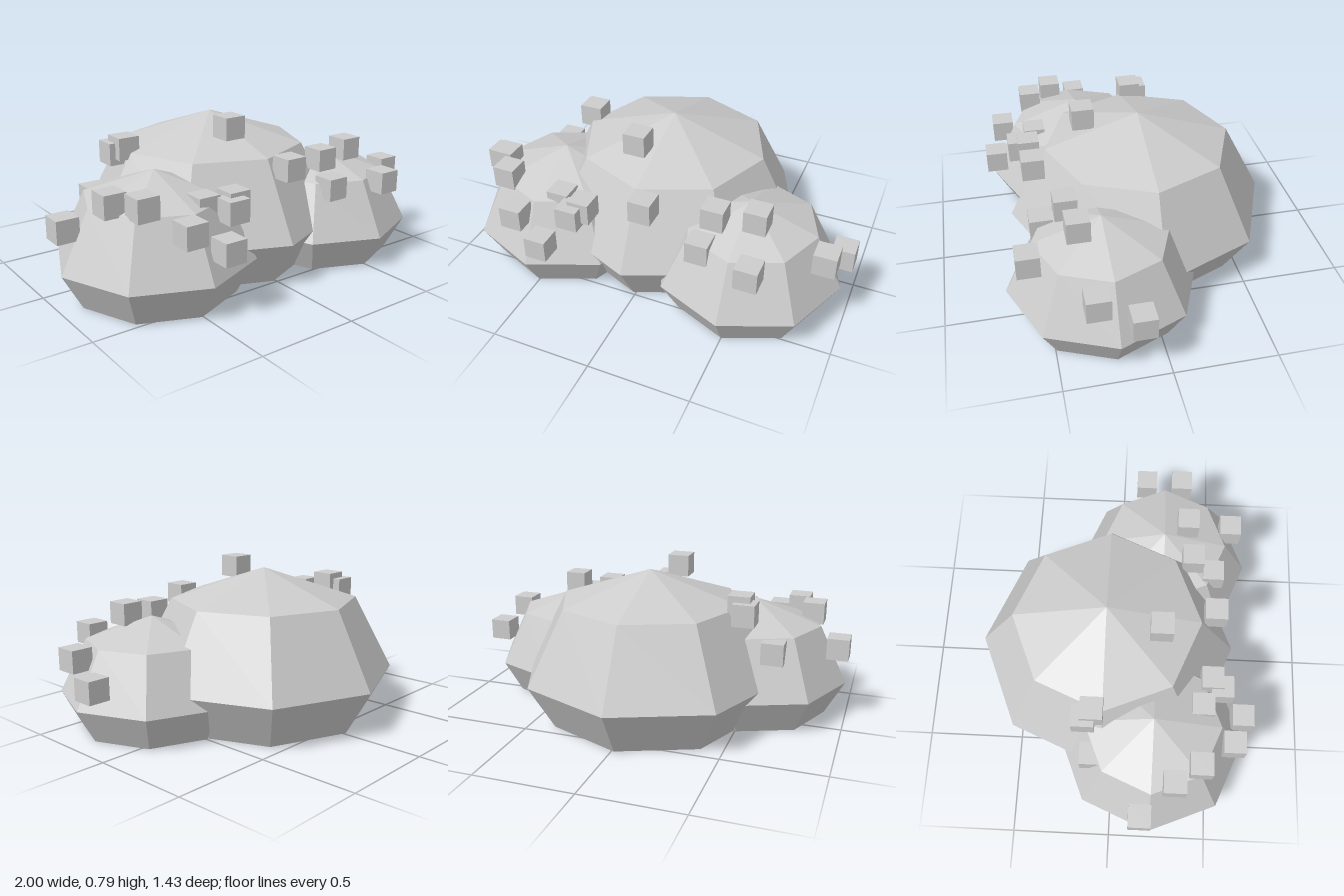
import * as THREE from 'three';

const stone = new THREE.MeshStandardMaterial({ color: 0xcccccc, flatShading: true, side: THREE.DoubleSide });
stone.name = 'pale grey';

// Open-bottomed eight-sided dome: waist radius r at height waist, apex at top
function dome(name, x, z, r, waist, top) {
  const profile = [
    [0.8 * r, 0],
    [r, waist],
    [r * Math.SQRT1_2, waist + (top - waist) * Math.SQRT1_2],
    [0, top],
  ].map(([px, py]) => new THREE.Vector2(px, py));
  const mesh = new THREE.Mesh(new THREE.LatheGeometry(profile, 8), stone);
  mesh.position.set(x, 0, z);
  mesh.name = name;
  return mesh;
}

// Centres of the small cubes scattered over each dome
const cubes = {
  rightDomeCubes: [
    [-0.66, 0.41, -0.10], [-0.52, 0.60, -0.14], [-0.49, 0.63, -0.10], [-0.945, 0.385, 0.15],
    [-0.795, 0.515, 0.31], [-0.705, 0.515, 0.435], [-0.40, 0.46, 0.445], [-0.265, 0.47, 0.49],
    [-0.305, 0.45, 0.54], [-0.575, 0.42, 0.605], [-0.415, 0.325, 0.66],
  ],
  middleDomeCubes: [[-0.09, 0.735, 0.22], [0.06, 0.57, 0.495]],
  leftDomeCubes: [
    [0.37, 0.54, 0.38], [0.34, 0.42, 0.495], [0.565, 0.56, 0.35], [0.605, 0.43, 0.585],
    [0.945, 0.30, 0.13], [0.893, 0.395, 0.32],
  ],
};

export function createModel() {
  const model = new THREE.Group();
  model.name = 'clusteredDomes';

  // Three overlapping domes
  model.add(
    dome('middleDome', -0.012, -0.05, 0.67, 0.23, 0.76),
    dome('leftDome', 0.5, 0.23, 0.465, 0.17, 0.55),
    dome('rightDome', -0.505, 0.2, 0.483, 0.177, 0.59),
  );

  // Loose cubes on the front and sides
  const box = new THREE.BoxGeometry(0.11, 0.11, 0.11);
  for (const [name, centres] of Object.entries(cubes)) {
    const group = new THREE.Group();
    group.name = name;
    for (const c of centres) {
      const cube = new THREE.Mesh(box, stone);
      cube.position.set(...c);
      cube.name = 'smallCube';
      group.add(cube);
    }
    model.add(group);
  }
  return model;
}
